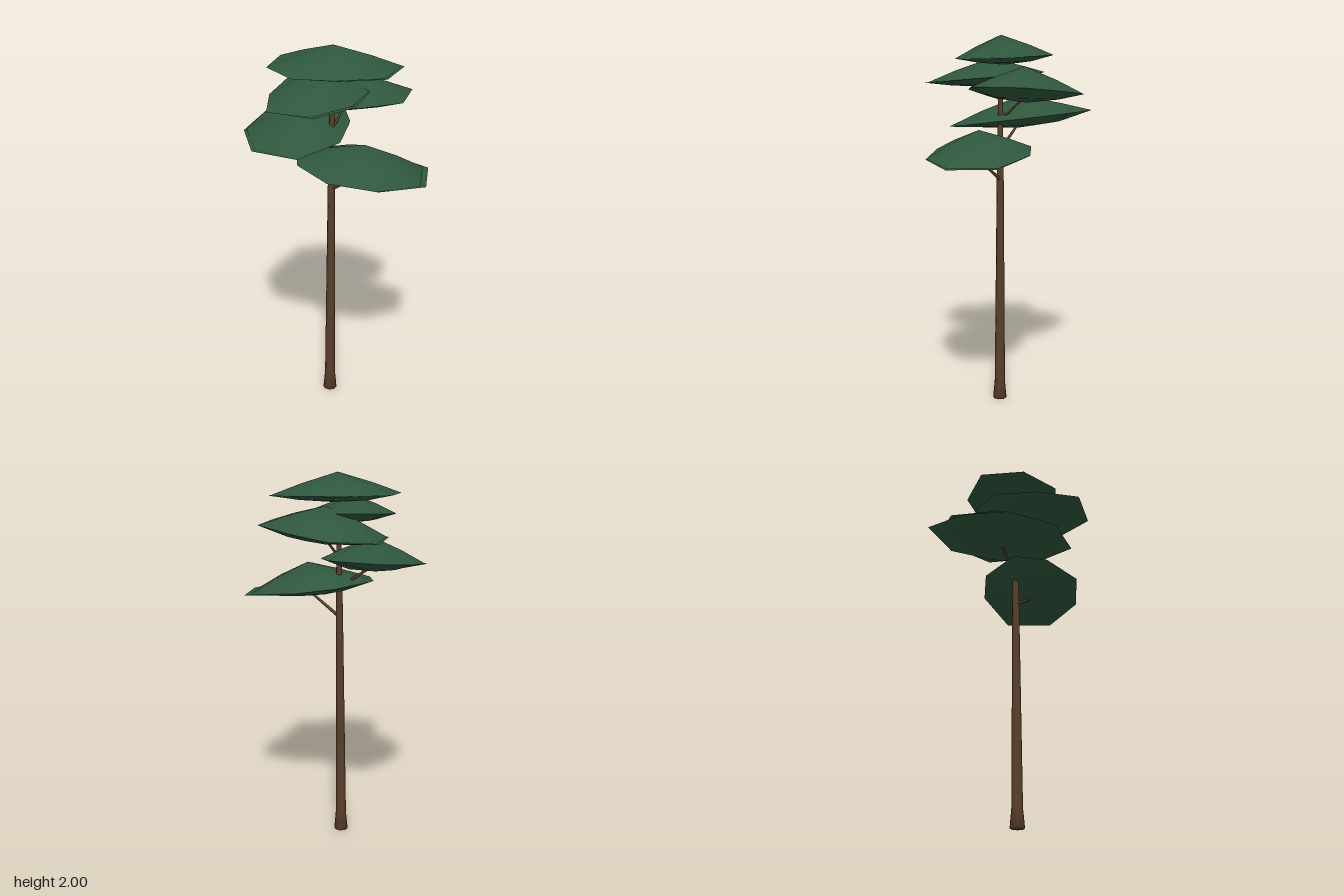
import * as THREE from 'three';

const foliage = new THREE.MeshStandardMaterial({ color: 0x30573f, side: THREE.DoubleSide });
foliage.name = 'pine green';
const bark = new THREE.MeshStandardMaterial({ color: 0x5a3f2a });
bark.name = 'bark brown';

// Each pad: outline [x, z] clockwise from above, rim centre, tilt of the rim plane,
// apex of the dome, depth of the underside, inward shift of the dome over the rim
const pads = [
  { name: 'crownTop', outline: [[-0.07, -0.25], [0.14, -0.185], [0.34, -0.055], [0.27, 0.185], [0.04, 0.26], [-0.185, 0.255], [-0.335, 0.08], [-0.305, -0.155]],
    centre: [0, 1.888, 0], tilt: [-0.02, -0.03], apex: [-0.01, 2, 0.02], depth: 0.04, shift: [-0.015, -0.01] },
  { name: 'crownFront', outline: [[-0.31, 0.15], [-0.26, -0.08], [-0.1, -0.2], [0.08, -0.13], [0.18, 0.08], [0.13, 0.285], [-0.05, 0.44], [-0.28, 0.38]],
    centre: [-0.07, 1.78, 0.12], tilt: [0, -0.09], apex: [-0.09, 1.88, 0.09], depth: 0.05, shift: [-0.015, -0.02] },
  { name: 'crownBack', outline: [[-0.01, -0.42], [0.195, -0.31], [0.38, -0.145], [0.345, 0.115], [0.12, 0.17], [-0.12, 0.14], [-0.28, -0.05], [-0.245, -0.32]],
    centre: [0.05, 1.71, -0.12], tilt: [0.1, 0.02], apex: [0.04, 1.84, -0.11], depth: 0.055, shift: [0.015, 0.01] },
  { name: 'crownRight', outline: [[-0.245, -0.445], [0, -0.34], [0.065, -0.1], [0.04, 0.15], [-0.15, 0.335], [-0.39, 0.245], [-0.48, 0], [-0.41, -0.24]],
    centre: [-0.2, 1.555, -0.05], tilt: [0.04, -0.123], apex: [-0.2, 1.68, -0.06], depth: 0.05, shift: [0.015, -0.015] },
  { name: 'crownLeft', outline: [[0.48, -0.035], [0.475, 0.22], [0.25, 0.37], [0, 0.365], [-0.17, 0.2], [-0.2, 0.02], [-0.02, -0.14], [0.2, -0.16]],
    centre: [0.14, 1.395, 0.1], tilt: [-0.12, -0.03], apex: [0.16, 1.52, 0.11], depth: 0.05, shift: [-0.03, 0] },
];

// Fan from a tip through a middle ring to the rim
function shell(tip, rim, bulge, up) {
  const n = rim.length;
  const mid = rim.map((p) => p.map((v, k) => tip[k] + (v - tip[k]) * (k === 1 ? bulge : 0.55)));
  const index = [];
  const tri = (a, b, c) => index.push(...(up ? [a, b, c] : [a, c, b]));
  for (let i = 0; i < n; i++) {
    const j = (i + 1) % n;
    tri(0, 1 + j, 1 + i);
    tri(1 + i, 1 + j, 1 + n + j);
    tri(1 + i, 1 + n + j, 1 + n + i);
  }
  const g = new THREE.BufferGeometry();
  g.setAttribute('position', new THREE.Float32BufferAttribute([tip, ...mid, ...rim].flat(), 3));
  g.setIndex(index);
  g.computeVertexNormals();
  return g;
}

// Leaf pad: a dome over a shallow, slightly wider underside
function makePad({ name, outline, centre, tilt, apex, depth, shift }) {
  const [cx, cy, cz] = centre;
  const onPlane = (x, z) => [x, cy + tilt[0] * (x - cx) + tilt[1] * (z - cz), z];
  const lower = outline.map(([x, z]) => onPlane(x, z));
  const upper = outline.map(([x, z]) => {
    const r = Math.hypot(x - cx, z - cz) * Math.hypot(...shift);
    const w = Math.max(0, -((x - cx) * shift[0] + (z - cz) * shift[1]) / r);
    return onPlane(x + shift[0] * w, z + shift[1] * w);
  });
  const pad = new THREE.Group();
  pad.name = name;
  const dome = new THREE.Mesh(shell(apex, upper, 0.5, true), foliage);
  dome.name = 'leafDome';
  const under = new THREE.Mesh(shell([cx, cy - depth, cz], lower, 0.35, false), foliage);
  under.name = 'leafUnderside';
  pad.add(dome, under);
  return pad;
}

// Tapered limb between two points
function limb(name, from, to, r0, r1) {
  const a = new THREE.Vector3(...from);
  const d = new THREE.Vector3(...to).sub(a);
  const mesh = new THREE.Mesh(new THREE.CylinderGeometry(r1, r0, d.length(), 6), bark);
  mesh.name = name;
  mesh.position.copy(a).addScaledVector(d, 0.5);
  mesh.quaternion.setFromUnitVectors(new THREE.Vector3(0, 1, 0), d.normalize());
  return mesh;
}

export function createModel() {
  const tree = new THREE.Group();
  tree.name = 'tree';

  // Trunk: flared base, long taper, slight lean
  const profile = [[0, 0], [0.038, 0], [0.029, 0.1], [0.019, 1.25], [0.013, 1.65], [0.009, 1.9], [0, 1.9]];
  const trunkGeometry = new THREE.LatheGeometry(profile.map(([r, y]) => new THREE.Vector2(r, y)), 8);
  const p = trunkGeometry.attributes.position;
  for (let i = 0; i < p.count; i++) {
    const y = p.getY(i);
    p.setX(i, p.getX(i) - 0.03 + 0.008 * y);
    p.setZ(i, p.getZ(i) + 0.031 - 0.004 * y);
  }
  const trunk = new THREE.Mesh(trunkGeometry, bark);
  trunk.name = 'trunk';
  tree.add(trunk);

  // Branches carrying the side pads
  tree.add(
    limb('leftBranch', [-0.02, 1.24, 0.025], [0.15, 1.36, 0.105], 0.01, 0.007),
    limb('rightBranch', [-0.02, 1.4, 0.025], [-0.2, 1.53, -0.05], 0.01, 0.006),
    limb('backBranch', [-0.018, 1.56, 0.025], [0.045, 1.68, -0.11], 0.008, 0.005),
    limb('frontBranch', [-0.017, 1.66, 0.025], [-0.07, 1.76, 0.11], 0.007, 0.005),
  );

  pads.forEach((pad) => tree.add(makePad(pad)));
  return tree;
}
